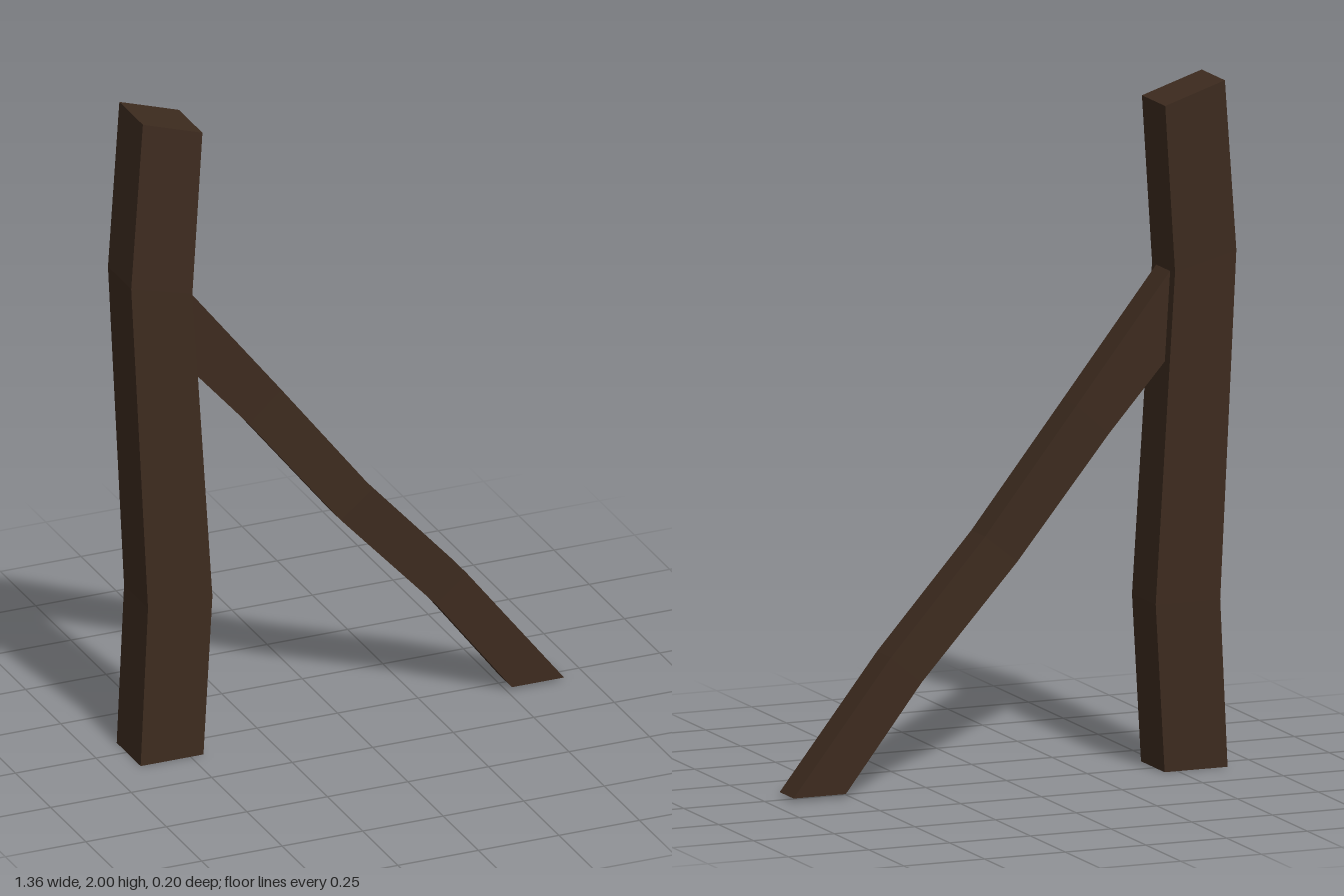
import * as THREE from 'three';

// Four-sided beam through cross-sections [x0, y0, x1, y1, zFront, zBack];
// point 0 is the -x / lower edge, point 1 the +x / upper edge.
function beam(name, sections, material) {
  const rings = sections.map(([x0, y0, x1, y1, zf, zb]) => [
    [x0, y0, zf], [x1, y1, zf], [x1, y1, zb], [x0, y0, zb],
  ]);
  const pos = [];
  const quad = (a, b, c, d) => pos.push(...a, ...b, ...c, ...a, ...c, ...d);
  for (let i = 0; i < rings.length - 1; i++) {
    const a = rings[i], b = rings[i + 1];
    for (let k = 0; k < 4; k++) {
      const n = (k + 1) % 4;
      quad(a[k], a[n], b[n], b[k]);
    }
  }
  // End caps
  const s = rings[0], e = rings[rings.length - 1];
  quad(s[3], s[2], s[1], s[0]);
  quad(e[0], e[1], e[2], e[3]);
  const geo = new THREE.BufferGeometry();
  geo.setAttribute('position', new THREE.Float32BufferAttribute(pos, 3));
  geo.computeVertexNormals();
  const mesh = new THREE.Mesh(geo, material);
  mesh.name = name;
  return mesh;
}

export function createModel() {
  const group = new THREE.Group();
  group.name = 'bracedPost';
  const wood = new THREE.MeshStandardMaterial({ color: 0x3d2b1f });
  wood.name = 'darkWood';

  // Crooked upright with a slanted top, bottom to top
  group.add(beam('post', [
    [-0.655, 0, -0.46, 0, 0.1, -0.07],
    [-0.63, 0.49, -0.43, 0.49, 0.095, -0.075],
    [-0.68, 1.5, -0.49, 1.45, 0.09, -0.075],
    [-0.635, 2, -0.45, 1.94, 0.07, -0.097],
  ], wood));

  // Bent diagonal brace, ground to post, its upper end sunk into the post
  group.add(beam('brace', [
    [0.515, 0.01, 0.677, 0.01, 0.06, -0.04],
    [0.28, 0.315, 0.375, 0.395, 0.06, -0.04],
    [-0.02, 0.64, 0.08, 0.72, 0.068, -0.032],
    [-0.3, 0.99, -0.2, 1.08, 0.06, -0.04],
    [-0.49, 1.205, -0.5, 1.46, 0.06, -0.04],
  ], wood));

  return group;
}
